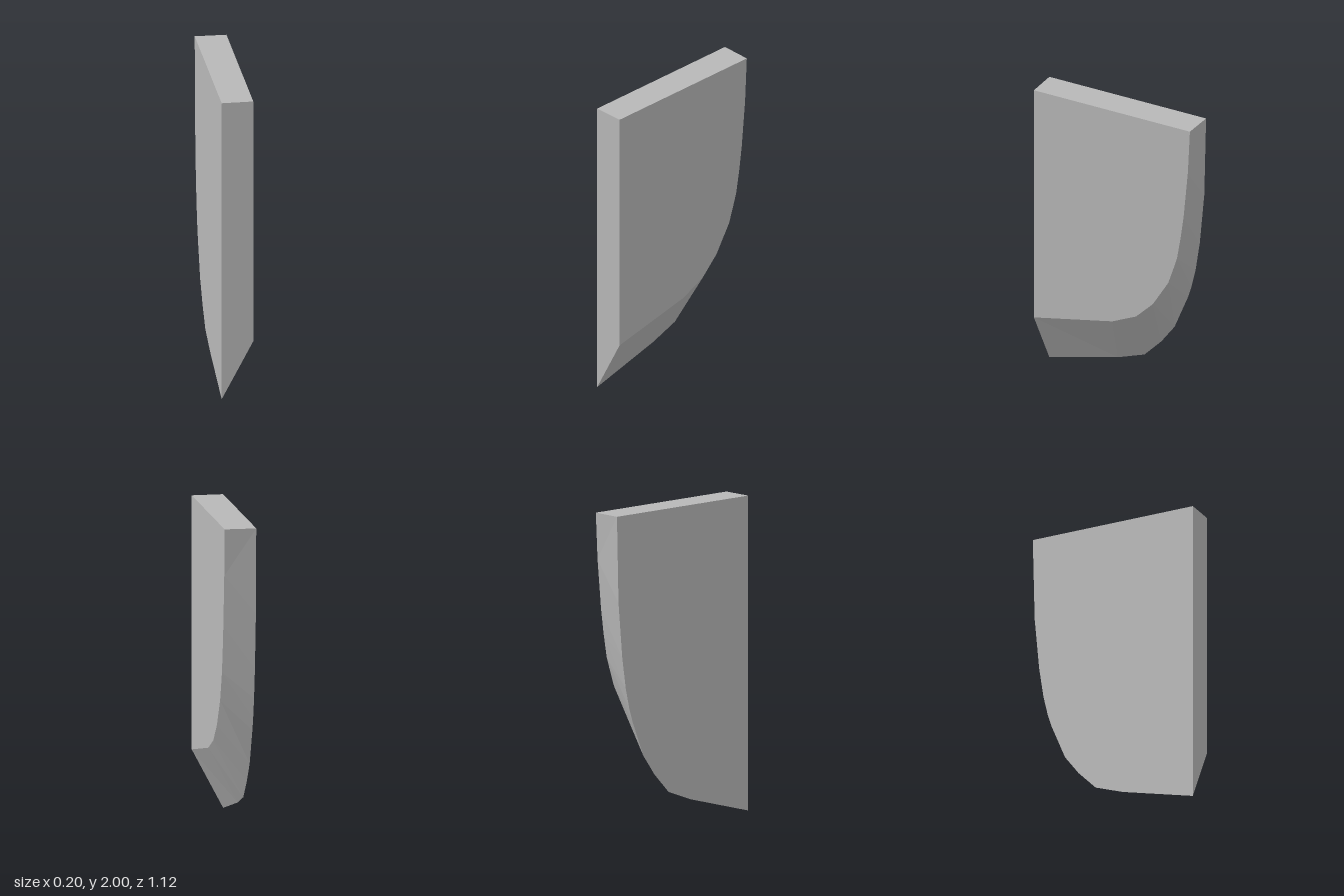
import * as THREE from 'three';

// Matching edge profiles as [z, y], from the lower front corner round to the top back corner.
const OUTER = [
  [0.56, 0], [0.07, 0.13], [-0.12, 0.2], [-0.24, 0.325], [-0.335, 0.455], [-0.43, 0.69],
  [-0.455, 0.77], [-0.485, 0.9], [-0.515, 1.1], [-0.547, 1.45], [-0.56, 2], [0.56, 2],
];
const INNER = [
  [0.56, 0.38], [0, 0.5], [-0.17, 0.58], [-0.29, 0.7], [-0.4, 0.88], [-0.44, 1.0],
  [-0.462, 1.07], [-0.488, 1.22], [-0.51, 1.38], [-0.54, 1.7], [-0.555, 2], [0.56, 2],
];
const WIDTH = 0.2;

export function createModel() {
  const group = new THREE.Group();
  group.name = 'bevelledBlade';
  const grey = new THREE.MeshStandardMaterial({ color: 0xb8b8b8 });
  grey.name = 'plainGrey';

  // Slab with the larger outline on both sides
  const shape = new THREE.Shape(OUTER.map(([z, y]) => new THREE.Vector2(-z, y)));
  const geometry = new THREE.ExtrudeGeometry(shape, { depth: WIDTH, bevelEnabled: false });

  // Pull the left side in to the smaller outline, which slants the curved edge
  const pos = geometry.attributes.position;
  for (let i = 0; i < pos.count; i++) {
    if (pos.getZ(i) < WIDTH / 2) continue;
    const k = OUTER.findIndex(([z, y]) => Math.hypot(-z - pos.getX(i), y - pos.getY(i)) < 1e-4);
    pos.setXY(i, -INNER[k][0], INNER[k][1]);
  }
  geometry.translate(0, 0, -WIDTH / 2);
  geometry.rotateY(Math.PI / 2);
  geometry.computeVertexNormals();

  const blade = new THREE.Mesh(geometry, grey);
  blade.name = 'blade';
  group.add(blade);
  return group;
}
